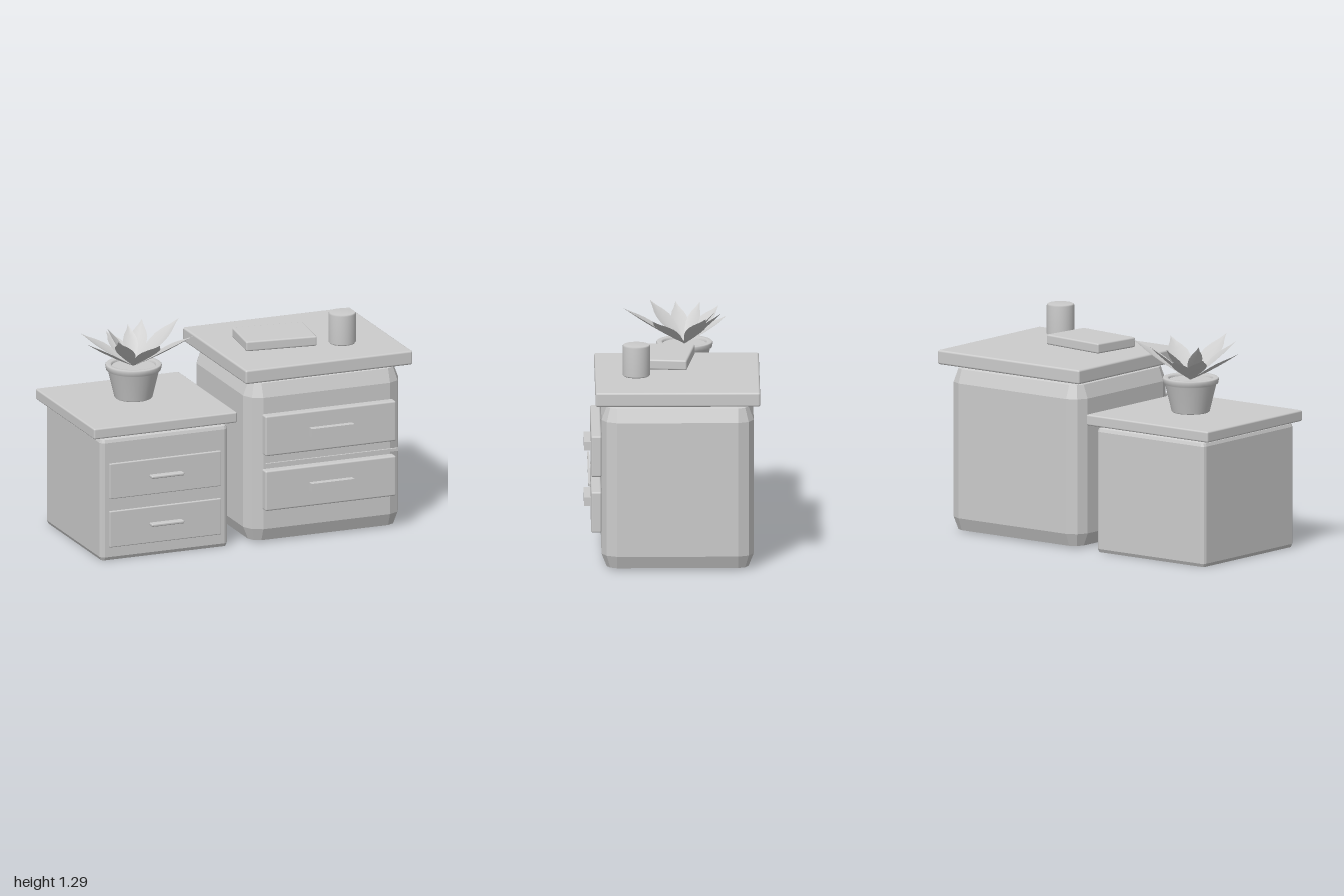
import * as THREE from 'three';
import { RoundedBoxGeometry } from 'three/addons/geometries/RoundedBoxGeometry.js';

const grey = new THREE.MeshStandardMaterial({ color: 0xcccccc });
const thin = new THREE.MeshStandardMaterial({ color: 0xcccccc, side: THREE.DoubleSide });
const faceted = new THREE.MeshStandardMaterial({ color: 0xcccccc, side: THREE.DoubleSide, flatShading: true });

function add(parent, name, geometry, material = grey) {
  const mesh = new THREE.Mesh(geometry, material);
  mesh.name = name;
  parent.add(mesh);
  return mesh;
}

// Box given by its limits, with softly rounded edges when r > 0
function box(parent, name, [x0, x1], [y0, y1], [z0, z1], r = 0) {
  const s = [x1 - x0, y1 - y0, z1 - z0];
  const g = r ? new RoundedBoxGeometry(...s, 2, r) : new THREE.BoxGeometry(...s);
  const mesh = add(parent, name, g);
  mesh.position.set((x0 + x1) / 2, (y0 + y1) / 2, (z0 + z1) / 2);
  return mesh;
}

// Surface through rows of equally many points
function skin(rows, closed, cap) {
  const n = rows[0].length, pos = rows.flat(2), idx = [];
  for (let r = 0; r < rows.length - 1; r++) {
    for (let i = 0; i < (closed ? n : n - 1); i++) {
      const a = r * n + i, b = r * n + (i + 1) % n;
      idx.push(a, b, b + n, a, b + n, a + n);
    }
  }
  const last = (rows.length - 1) * n;
  if (cap) for (let i = 1; i < n - 1; i++) idx.push(last, last + i, last + i + 1);
  const g = new THREE.BufferGeometry();
  g.setAttribute('position', new THREE.Float32BufferAttribute(pos, 3));
  g.setIndex(idx);
  g.computeVertexNormals();
  return g;
}

// Cabinet carcass: bevelled upright corners, open underneath; rings are [y, inset]
function carcass([x0, x1], [z0, z1], bevel, rings) {
  const corner = [[bevel, 0], [bevel / 3, bevel / 3], [0, bevel]];
  const cx = (x0 + x1) / 2, cz = (z0 + z1) / 2;
  const rows = rings.map(([y, inset]) => {
    const hx = (x1 - x0) / 2 - inset, hz = (z1 - z0) / 2 - inset, row = [];
    for (const [sx, sz] of [[1, 1], [1, -1], [-1, -1], [-1, 1]]) {
      const points = sx * sz > 0 ? corner : [...corner].reverse();
      for (const [u, v] of points) {
        const k = Math.max(0.3, 1 - inset / bevel);
        row.push([cx + sx * (hx - u * k), y, cz + sz * (hz - v * k)]);
      }
    }
    return row;
  });
  return skin(rows, true, true);
}

// Pointed leaf, creased along its midrib, from the plant's centre to an offset tip
function leaf(dx, dy, dz, width) {
  const len = Math.hypot(dx, dz), sx = -dz / len, sz = dx / len;
  const rows = [];
  for (let i = 0; i <= 8; i++) {
    const t = i / 8;
    const w = width * (0.12 + 0.88 * Math.sin(Math.PI * Math.pow(t, 1.25))) * (1 - Math.pow(t, 6)) / 2;
    const y = dy * (0.8 * t + 0.2 * t * t);
    rows.push([-1, 0, 1].map((s) => [
      dx * t + s * w * sx, y + Math.abs(s) * w * 0.3, dz * t + s * w * sz]));
  }
  return skin(rows, false, false);
}

function smallCabinet() {
  const g = new THREE.Group();
  g.name = 'smallCabinet';
  add(g, 'smallBody', carcass([-0.95, -0.145], [-0.46, 0.39], 0.025,
    [[0, 0.01], [0.02, 0], [0.715, 0], [0.733, 0.007], [0.74, 0.025]]), faceted);
  box(g, 'smallTop', [-1, -0.095], [0.75, 0.815], [-0.49, 0.405], 0.01);
  for (const [y0, y1] of [[0.08, 0.3], [0.375, 0.59]]) {
    const y = (y0 + y1) / 2;
    box(g, 'smallDrawer', [-0.9, -0.195], [y0, y1], [0.37, 0.403], 0.006);
    box(g, 'smallHandle', [-0.65, -0.445], [y - 0.002, y + 0.016], [0.4, 0.445], 0.007);
  }
  return g;
}

function largeCabinet() {
  const g = new THREE.Group();
  g.name = 'largeCabinet';
  add(g, 'largeBody', carcass([-0.025, 0.955], [-0.475, 0.415], 0.09,
    [[0.01, 0.03], [0.085, 0], [0.885, 0], [0.965, 0.03], [0.985, 0.09]]), faceted);
  box(g, 'largeTop', [-0.06, 0.995], [0.99, 1.075], [-0.512, 0.45], 0.012);
  for (const y of [0.333, 0.667]) {
    box(g, 'largeDrawer', [0.055, 0.88], [y - 0.122, y + 0.122], [0.415, 0.475], 0.01);
    box(g, 'largeHandle', [0.33, 0.6], [y - 0.025, y + 0.025], [0.47, 0.515]);
  }
  box(g, 'trimStrip', [0.05, 0.885], [0.49, 0.507], [0.48, 0.492]);
  return g;
}

function pottedPlant() {
  const g = new THREE.Group();
  g.name = 'pottedPlant';
  g.position.set(-0.55, 0.825, -0.08);
  // Tapered pot with a thick rolled rim and sunken soil
  const profile = [[0, 0], [0.105, 0], [0.112, 0.006], [0.15, 0.165], [0.161, 0.172], [0.166, 0.198],
    [0.16, 0.205], [0.135, 0.205], [0.128, 0.198], [0.126, 0.185]];
  add(g, 'pot', new THREE.LatheGeometry(profile.map(([x, y]) => new THREE.Vector2(x, y)), 32), thin);
  const soil = add(g, 'soil', new THREE.CircleGeometry(0.13, 32));
  soil.rotation.x = -Math.PI / 2;
  soil.position.y = 0.19;
  // Leaf tips (x, height, z) around the centre, then width
  const tips = [[-0.07, 0.15, -0.25, 0.11], [-0.25, 0.17, -0.2, 0.11], [-0.315, 0.18, 0.05, 0.1],
    [-0.18, 0.22, 0.2, 0.12], [0.02, 0.22, 0.36, 0.13], [0.3, 0.2, 0.19, 0.13],
    [0.335, 0.22, -0.12, 0.12], [0.14, 0.21, -0.21, 0.11], [-0.13, 0.22, -0.09, 0.09], [0.04, 0.2, -0.18, 0.09]];
  for (const [x, y, z, w] of tips) {
    add(g, 'leaf', leaf(x, y, z, w), thin).position.y = 0.19;
  }
  return g;
}

export function createModel() {
  const model = new THREE.Group();
  model.name = 'nightstands';
  model.add(smallCabinet(), largeCabinet(), pottedPlant());

  // Book lying at a slight angle
  const book = box(model, 'book', [0.075, 0.505], [1.1, 1.16], [-0.112, 0.198], 0.01);
  book.rotation.y = -0.12;

  // Cup with softened edges
  const cup = [[0, 0], [0.074, 0], [0.081, 0.008], [0.081, 0.178], [0.074, 0.186], [0, 0.186]];
  add(model, 'cup', new THREE.LatheGeometry(cup.map(([x, y]) => new THREE.Vector2(x, y)), 24))
    .position.set(0.648, 1.1, 0.21);
  return model;
}
